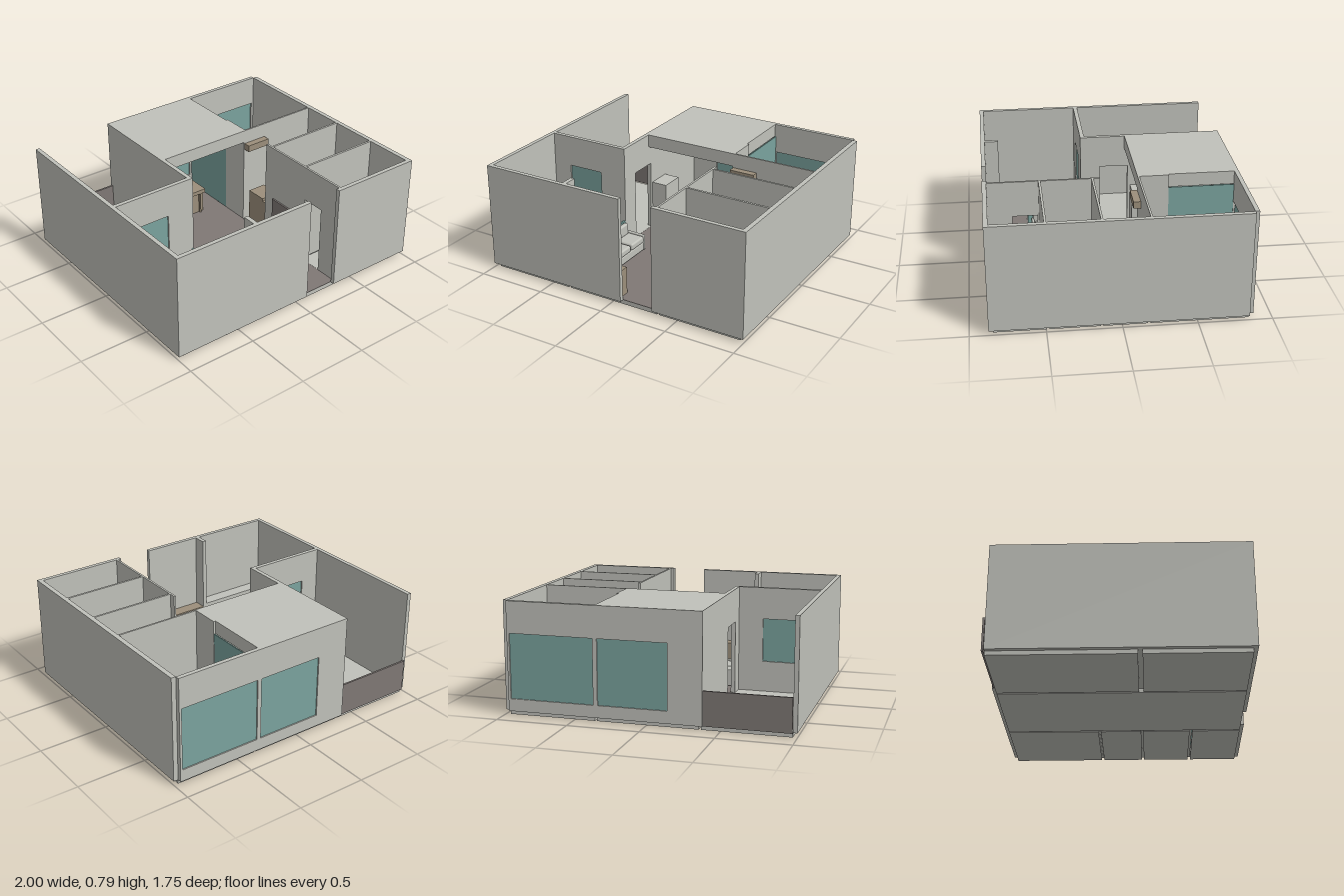
import * as THREE from 'three';
import { RoundedBoxGeometry } from 'three/addons/geometries/RoundedBoxGeometry.js';

const mat = (name, color) => Object.assign(new THREE.MeshStandardMaterial({ color }), { name });

export function createModel() {
  const model = new THREE.Group();
  model.name = 'apartment';
  const plaster = mat('plaster grey', 0xc0c1ba);
  const taupe = mat('taupe floor', 0x7f7875);
  const wood = mat('wood', 0x9c8f7b);
  const glass = mat('teal glass', 0x7aa39e);

  function group(name) {
    const g = new THREE.Group();
    g.name = name;
    model.add(g);
    return g;
  }
  // Box given by its minimum and maximum on each axis; r rounds the edges
  function box(parent, name, m, x0, x1, y0, y1, z0, z1, r = 0) {
    const s = [x1 - x0, y1 - y0, z1 - z0];
    const geo = r ? new RoundedBoxGeometry(...s, 2, r) : new THREE.BoxGeometry(...s);
    const mesh = new THREE.Mesh(geo, m);
    mesh.position.set((x0 + x1) / 2, (y0 + y1) / 2, (z0 + z1) / 2);
    mesh.name = name;
    parent.add(mesh);
    return mesh;
  }
  // Wall panel in the XY plane with rectangular holes [u0, u1, v0, v1]
  function panel(parent, name, u0, u1, depth, holes) {
    const rect = (T, a, b, c, d) => {
      const p = new T();
      p.moveTo(a, c); p.lineTo(b, c); p.lineTo(b, d); p.lineTo(a, d); p.closePath();
      return p;
    };
    const shape = rect(THREE.Shape, u0, u1, FLOOR, TOP);
    holes.forEach(h => shape.holes.push(rect(THREE.Path, ...h)));
    const mesh = new THREE.Mesh(new THREE.ExtrudeGeometry(shape, { depth, bevelEnabled: false }), plaster);
    mesh.name = name;
    parent.add(mesh);
    return mesh;
  }
  const FLOOR = 0.03, TOP = 0.785;

  // Floor slabs, some with a taupe finish on top
  const floors = group('floors');
  const slabs = [
    ['balcony', -0.97, -0.37, -0.845, 0.12, 0], ['study', -0.97, -0.37, 0.15, 0.845, 1],
    ['living', -0.355, 0.345, -0.845, 0.845, 1], ['bedroom', 0.36, 0.967, -0.845, -0.188, 1],
    ['closet', 0.36, 0.967, -0.17, 0.125, 1], ['bathroom', 0.36, 0.967, 0.14, 0.48, 0],
    ['shower', 0.36, 0.967, 0.5, 0.845, 0],
  ];
  for (const [n, x0, x1, z0, z1, dark] of slabs) {
    box(floors, n + 'Slab', plaster, x0, x1, 0, FLOOR, z0, z1);
    if (dark) box(floors, n + 'Finish', taupe, x0, x1, FLOOR, FLOOR + 0.003, z0, z1);
  }

  // Outer walls
  const walls = group('walls');
  const wall = (n, x0, x1, z0, z1) => box(walls, n, plaster, x0, x1, FLOOR, TOP, z0, z1);
  wall('leftWall', -1, -0.97, -0.845, 0.875);
  wall('rightWall', 0.967, 1, -0.845, 0.875);
  wall('frontWallLeft', -0.97, 0.075, 0.845, 0.875);
  wall('frontWallRight', 0.32, 0.967, 0.845, 0.875);
  const windows = [[-0.15, 0.33], [0.36, 0.95]];
  panel(walls, 'backWall', -0.385, 0.967, 0.03, windows.map(w => [...w, 0.115, 0.565])).position.z = -0.875;
  for (const [a, b] of windows) box(walls, 'backWindow', glass, a, b, 0.115, 0.565, -0.866, -0.858);

  // Inner walls
  const study = panel(walls, 'studyWall', -0.97, -0.355, 0.03, [[-0.83, -0.56, 0.25, 0.56]]);
  study.position.z = 0.12;
  box(walls, 'studyWindow', glass, -0.83, -0.56, 0.25, 0.56, 0.131, 0.139);
  const balconyWall = panel(walls, 'balconyWall', -0.12, 0.845, 0.03, [[-0.01, 0.2, 0.034, 0.55]]);
  balconyWall.rotation.y = Math.PI / 2;
  balconyWall.position.x = -0.385;
  wall('studyDoorStub', -0.385, -0.355, 0.75, 0.845);
  const bathWall = panel(walls, 'bathWall', -0.845, -0.08, 0.015, [[-0.68, -0.51, 0.034, 0.53]]);
  bathWall.rotation.y = Math.PI / 2;
  bathWall.position.x = 0.345;
  wall('bedroomStub', 0.345, 0.36, -0.39, -0.175);
  wall('bedroomPartition', 0.36, 0.967, -0.188, -0.175);
  wall('closetPartition', 0.36, 0.967, 0.125, 0.14);
  wall('bathPartition', 0.36, 0.967, 0.482, 0.498);

  // Kitchen ceiling, glass screens and balcony rail
  box(model, 'kitchenCeiling', plaster, -0.355, 0.345, 0.69, TOP, -0.845, -0.175);
  box(model, 'bedroomGlass', glass, 0.348, 0.356, FLOOR, 0.69, -0.845, -0.39);
  box(model, 'studyGlass', glass, -0.372, -0.358, FLOOR, 0.22, 0.15, 0.55);
  box(model, 'showerGlass', glass, 0.726, 0.734, FLOOR, 0.5, 0.5, 0.842);
  box(model, 'balconyRail', taupe, -0.97, -0.385, FLOOR, 0.265, -0.866, -0.852);

  // Study platform and wardrobe
  const studyRoom = group('studyFurniture');
  box(studyRoom, 'platform', plaster, -0.97, -0.51, FLOOR, 0.13, 0.15, 0.55);
  box(studyRoom, 'platformStep', plaster, -0.51, -0.375, FLOOR, 0.12, 0.15, 0.55);
  box(studyRoom, 'lowCabinet', plaster, -0.97, -0.385, FLOOR, 0.25, 0.75, 0.845);

  // Sofa
  const sofa = group('sofa');
  box(sofa, 'sofaBase', plaster, -0.35, -0.185, 0.04, 0.1, 0.165, 0.52, 0.008);
  box(sofa, 'sofaBack', plaster, -0.353, -0.318, 0.04, 0.22, 0.17, 0.515, 0.012);
  for (const z of [0.158, 0.503]) box(sofa, 'sofaArm', plaster, -0.35, -0.182, 0.04, 0.16, z, z + 0.022, 0.008);
  for (const z of [0.175, 0.345]) box(sofa, 'seatCushion', plaster, -0.318, -0.182, 0.1, 0.15, z, z + 0.155, 0.014);

  // Living room and kitchen furniture
  const living = group('livingFurniture');
  box(living, 'screenCabinet', wood, 0.262, 0.345, FLOOR, 0.12, 0.125, 0.487);
  box(living, 'screen', taupe, 0.332, 0.344, 0.18, 0.38, 0.175, 0.45);
  box(living, 'shoeCabinet', wood, -0.355, 0.05, FLOOR, 0.23, 0.752, 0.844);
  box(living, 'islandBody', wood, -0.1, 0.175, FLOOR, 0.2, -0.68, -0.46);
  box(living, 'islandTop', wood, -0.11, 0.182, 0.2, 0.23, -0.69, -0.44);
  for (const x of [-0.07, 0.135]) box(living, 'islandLeg', wood, x, x + 0.012, FLOOR, 0.2, -0.46, -0.445);
  box(living, 'fridge', plaster, -0.354, -0.235, FLOOR, 0.39, -0.4, -0.22);

  // Bedroom
  const bedroom = group('bedroomFurniture');
  box(bedroom, 'windowBench', plaster, 0.375, 0.95, FLOOR, 0.13, -0.84, -0.72, 0.012);
  box(bedroom, 'bedFrame', taupe, 0.5, 0.91, FLOOR, 0.06, -0.71, -0.31);
  box(bedroom, 'mattress', plaster, 0.505, 0.912, 0.06, 0.125, -0.705, -0.315, 0.012);
  box(bedroom, 'blanket', plaster, 0.5, 0.79, 0.065, 0.135, -0.7, -0.312, 0.012);
  for (const z of [-0.67, -0.485]) box(bedroom, 'pillow', plaster, 0.795, 0.875, 0.12, 0.15, z, z + 0.125, 0.012);
  box(bedroom, 'headboard', wood, 0.915, 0.966, FLOOR, 0.24, -0.715, -0.31);

  // Walk-in closet
  const closet = group('closetFurniture');
  box(closet, 'tallShelf', wood, 0.35, 0.535, 0.63, 0.68, -0.174, -0.125);
  box(closet, 'sideCabinet', wood, 0.362, 0.5, FLOOR, 0.3, -0.125, 0.03);
  box(closet, 'deepCabinet', wood, 0.362, 0.52, FLOOR, 0.28, 0.03, 0.124);
  box(closet, 'wardrobe', wood, 0.83, 0.966, FLOOR, 0.55, -0.172, 0.124);

  // Bathroom fixtures
  function toilet(x, z) {
    const g = group('toilet');
    box(g, 'toiletFoot', plaster, x - 0.025, x + 0.025, FLOOR, 0.09, z - 0.05, z + 0.05);
    box(g, 'toiletBowl', plaster, x - 0.038, x + 0.038, 0.085, 0.125, z - 0.07, z + 0.045, 0.014);
    box(g, 'toiletTank', plaster, x - 0.04, x + 0.04, FLOOR, 0.2, z + 0.035, z + 0.07, 0.008);
  }
  // Open basin: floor, pedestal and a four-sided rim
  function basin(name, x0, x1, y0, y1, z0, z1, t) {
    const g = group(name);
    box(g, name + 'Bottom', plaster, x0 + t, x1 - t, y0, y0 + 0.015, z0 + t, z1 - t);
    for (const [a, b] of [[x0, x0 + t], [x1 - t, x1]]) box(g, name + 'Side', plaster, a, b, y0, y1, z0, z1);
    for (const [a, b] of [[z0, z0 + t], [z1 - t, z1]]) box(g, name + 'End', plaster, x0 + t, x1 - t, y0, y1, a, b);
    return g;
  }
  toilet(0.475, 0.392);
  toilet(0.622, 0.742);
  for (const [x, z] of [[0.705, 0.41], [0.45, 0.763]]) {
    const g = basin('washBasin', x - 0.068, x + 0.068, 0.15, 0.2, z - 0.052, z + 0.052, 0.015);
    box(g, 'basinPedestal', plaster, x - 0.03, x + 0.03, FLOOR, 0.15, z - 0.02, z + 0.04);
  }
  basin('bathtub', 0.786, 0.94, FLOOR, 0.14, 0.18, 0.455, 0.012);
  const tap = new THREE.Mesh(new THREE.CylinderGeometry(0.009, 0.009, 0.15, 12), plaster);
  tap.name = 'bathTap';
  tap.position.set(0.955, 0.105, 0.31);
  model.add(tap);

  return model;
}
